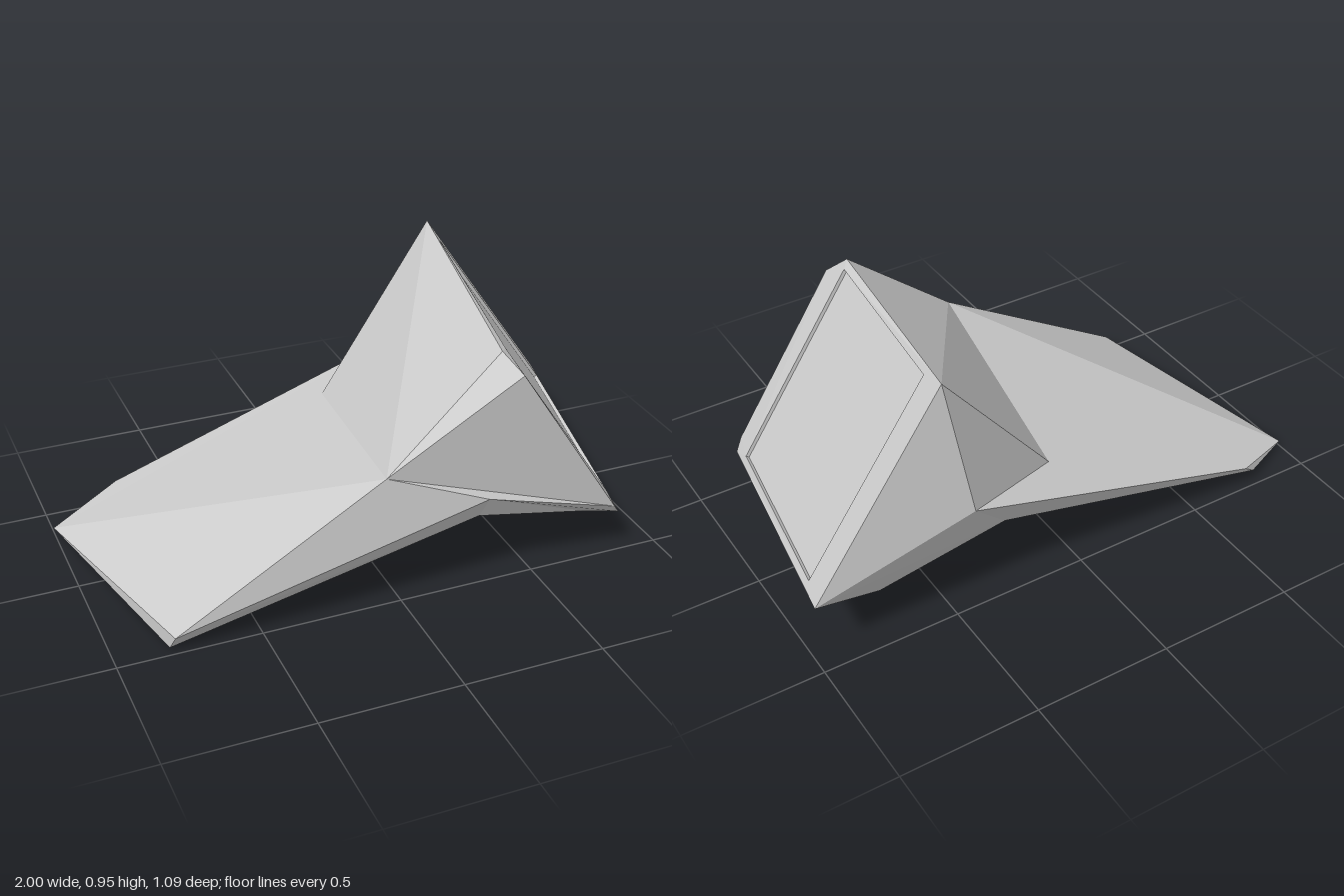
import * as THREE from 'three';

// Corner points of the faceted shell
const P = {
  tailBack: [-1, 0.02, -0.37], tailFront: [-0.8, 0.06, 0.5], tailLow: [-0.81, 0, 0.46],
  tailSideLow: [-0.78, 0.05, -0.48], tailSide: [-0.73, 0.09, -0.495],
  ridgeFront: [-0.06, 0.495, 0.5], ridgeBack: [0.05, 0.37, -0.36],
  hipFront: [0.3, 0.36, 0.545], hipBack: [0.45, 0.47, -0.545],
  creaseFront: [0.28, 0.28, 0.51], creaseBack: [0.3, 0.31, -0.48],
  chinFront: [0.73, 0.165, 0.46], chinBack: [0.75, 0.18, -0.43],
  topFrontA: [0.37, 0.857, 0.45], topFrontB: [0.42, 0.79, 0.52],
  topBack: [0.52, 0.955, -0.47],
  lowFrontA: [0.81, 0.2, 0.52], lowFrontB: [0.84, 0.16, 0.5],
  lowBack: [1, 0.26, -0.47],
};

// Flat-shaded mesh from polygons (each a fan of counter-clockwise corners)
function facets(name, points, polygons) {
  const pos = [];
  for (const text of polygons) {
    const k = text.split(' ');
    for (let i = 1; i < k.length - 1; i++) pos.push(...points[k[0]], ...points[k[i]], ...points[k[i + 1]]);
  }
  const geo = new THREE.BufferGeometry();
  geo.setAttribute('position', new THREE.Float32BufferAttribute(pos, 3));
  geo.computeVertexNormals();
  const mat = new THREE.MeshStandardMaterial({ color: 0xcccccc, flatShading: true, side: THREE.DoubleSide });
  const mesh = new THREE.Mesh(geo, mat);
  mesh.name = name;
  return mesh;
}

// Screen corners: blended across the display end, plus copies sunk along its normal
function addScreenPoints() {
  const v = (a) => new THREE.Vector3(...a);
  const a = v([0.37, 0.86, 0.51]), d = v([0.84, 0.165, 0.51]), b = v(P.topBack), c = v(P.lowBack);
  const sink = d.clone().sub(a).cross(b.clone().sub(a)).normalize();
  if (sink.x > 0) sink.negate();
  sink.multiplyScalar(0.013);
  const corners = { A: [0.1, 0.035], D: [0.1, 0.965], C: [0.885, 0.965], B: [0.885, 0.035] };
  for (const [key, [s, t]] of Object.entries(corners)) {
    const p = a.clone().lerp(b, s).lerp(d.clone().lerp(c, s), t);
    P['rim' + key] = p.toArray();
    P['glass' + key] = p.clone().add(sink).toArray();
  }
}

export function createModel() {
  const model = new THREE.Group();
  model.name = 'wedgeDisplay';
  addScreenPoints();

  // Sloping top, from tail to display end
  model.add(facets('topShell', P, [
    'tailBack tailFront ridgeFront',
    'tailBack ridgeFront ridgeBack',
    'ridgeFront topFrontA topBack ridgeBack',
    'tailBack ridgeBack hipBack tailSide',
    'tailBack tailSide tailSideLow',
    'ridgeBack topBack hipBack',
  ]));

  // Flanks
  model.add(facets('frontFlank', P, [
    'tailFront hipFront ridgeFront',
    'ridgeFront hipFront lowFrontA',
    'ridgeFront lowFrontA topFrontB',
    'ridgeFront topFrontB topFrontA',
    'tailFront tailLow creaseFront hipFront',
    'hipFront creaseFront chinFront lowFrontB lowFrontA',
  ]));
  model.add(facets('backFlank', P, [
    'hipBack topBack lowBack',
    'tailSideLow tailSide hipBack creaseBack',
    'creaseBack hipBack lowBack chinBack',
  ]));

  // Underside with its crease
  model.add(facets('underside', P, [
    'tailBack tailSideLow creaseBack',
    'tailBack creaseBack creaseFront',
    'tailBack creaseFront tailLow',
    'tailBack tailLow tailFront',
    'creaseFront creaseBack chinBack chinFront',
    'chinFront chinBack lowBack lowFrontB',
  ]));

  // Frame around the display and the walls of its recess
  model.add(facets('screenFrame', P, [
    'topFrontA topFrontB rimA',
    'topFrontB lowFrontA rimD rimA',
    'lowFrontA lowFrontB rimD',
    'lowFrontB lowBack rimC rimD',
    'lowBack topBack rimB rimC',
    'topBack topFrontA rimA rimB',
    ...['AD', 'DC', 'CB', 'BA'].map(([i, j]) => `rim${i} rim${j} glass${j} glass${i}`),
  ]));
  model.add(facets('screen', P, ['glassA glassD glassC glassB']));

  // Thin tapered support plate below
  const plate = {};
  [[-0.05, 0.25, 0.33], [0.63, 0.147, 0.31], [0.63, 0.147, -0.25], [-0.05, 0.25, 0.05]].forEach(([x, y, z], i) => {
    plate['t' + i] = [x, y, z];
    plate['b' + i] = [x, y - 0.02, z];
  });
  model.add(facets('supportPlate', plate, [
    't0 t1 t2 t3', 'b3 b2 b1 b0',
    ...[0, 1, 2, 3].map((i) => `b${i} b${(i + 1) % 4} t${(i + 1) % 4} t${i}`),
  ]));

  return model;
}
